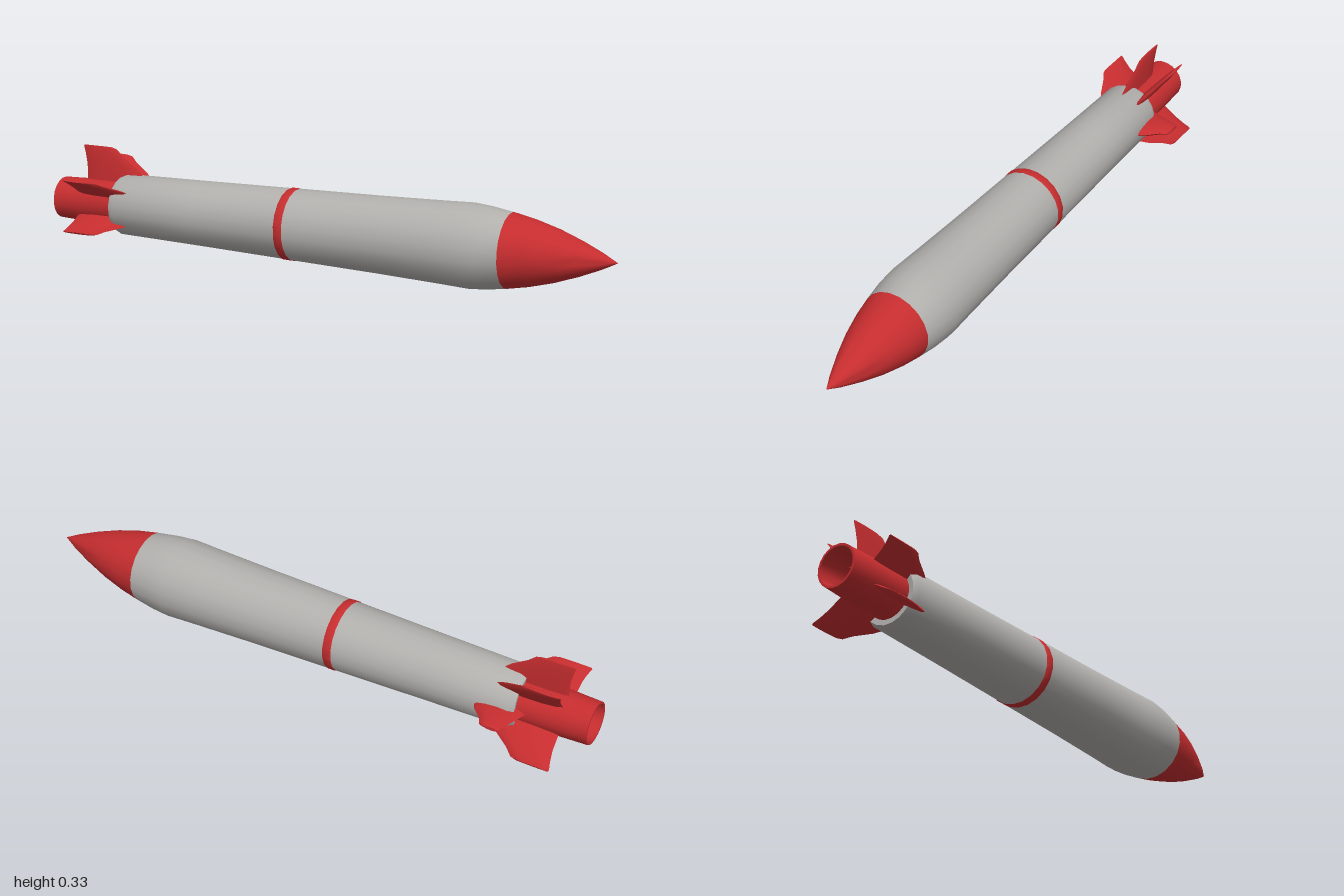
import * as THREE from 'three';
import { toCreasedNormals } from 'three/addons/utils/BufferGeometryUtils.js';

const SIDES = 20;

// Revolved shell along x from [x, radius] points, running tail to nose on the outside
function revolve(points) {
  const profile = points.map(([x, r]) => new THREE.Vector2(r, x));
  const g = new THREE.LatheGeometry(profile, SIDES, Math.PI / SIDES);
  g.rotateZ(-Math.PI / 2);
  return toCreasedNormals(g, 0.6);
}

// Fin lofted outwards through lens sections: [radius, rear x, front x, half thickness]
function finGeometry(stations) {
  const N = 12, pos = [], idx = [];
  for (const [r, rear, front, t] of stations) {
    for (let j = 0; j < N; j++) {
      const a = (j / N) * Math.PI * 2;
      pos.push((rear + front) / 2 + Math.cos(a) * (front - rear) / 2, r, Math.sin(a) * t);
    }
  }
  for (let i = 0; i < stations.length - 1; i++) {
    for (let j = 0; j < N; j++) {
      const a = i * N + j, b = i * N + (j + 1) % N;
      idx.push(a, a + N, b, b, a + N, b + N);
    }
  }
  // Tip cap
  const last = (stations.length - 1) * N;
  for (let j = 1; j < N - 1; j++) idx.push(last, last + j + 1, last + j);
  const g = new THREE.BufferGeometry();
  g.setAttribute('position', new THREE.Float32BufferAttribute(pos, 3));
  g.setIndex(idx);
  return toCreasedNormals(g, 0.8);
}

export function createModel() {
  const model = new THREE.Group();
  model.name = 'rocket';
  const red = new THREE.MeshStandardMaterial({ color: 0xc62d2f, side: THREE.DoubleSide });
  red.name = 'red';
  const grey = new THREE.MeshStandardMaterial({ color: 0xb2b0ad, side: THREE.DoubleSide });
  grey.name = 'light grey';

  const hull = new THREE.Group();
  hull.name = 'hull';
  hull.position.set(0, 0.137, 0.028);
  model.add(hull);

  const add = (name, geometry, material) => {
    const mesh = new THREE.Mesh(geometry, material);
    mesh.name = name;
    hull.add(mesh);
    return mesh;
  };

  // Hull sections
  add('tailNozzle', revolve([
    [-0.84, 0], [-0.84, 0.062], [-1, 0.064], [-1, 0.071], [-0.9, 0.075], [-0.74, 0.077],
  ]), red);
  add('rearBody', revolve([
    [-0.76, 0.06], [-0.765, 0.095], [-0.745, 0.104], [-0.45, 0.11], [-0.125, 0.118],
  ]), grey);
  add('band', revolve([[-0.125, 0.118], [-0.122, 0.12], [-0.098, 0.12], [-0.095, 0.119]]), red);
  add('frontBody', revolve([
    [-0.095, 0.119], [0.2, 0.126], [0.42, 0.133], [0.52, 0.137], [0.58, 0.132], [0.65, 0.121],
  ]), grey);
  add('noseCone', revolve([
    [0.65, 0.121], [0.72, 0.107], [0.8, 0.085], [0.88, 0.056], [0.95, 0.026], [1, 0],
  ]), red);

  // Fins: angle in degrees from the top towards the back, tip radius, forward shift, half thickness
  const fins = [
    ['topFin', 3, 0.191, 0, 0.008],
    ['upperBackFin', 38, 0.184, 0, 0.011],
    ['backFin', 88.5, 0.192, 0.13, 0.016],
    ['lowerBackFin', 125.5, 0.194, 0, 0.014],
    ['lowerFrontFin', 238, 0.161, 0, 0.01],
    ['upperFrontFin', 305, 0.164, 0, 0.01],
  ];
  for (const [name, angle, tip, shift, thick] of fins) {
    const swept = shift > 0;
    const stations = [
      [0, -0.905, -0.64, 1.1],
      [0.5, -0.908, -0.71, 1],
      [0.78, -0.915, -0.765, 0.75],
      [0.96, -0.922, -0.79, 0.5],
      [1, -0.92, -0.81, 0.35],
    ].map(([u, rear, front, t]) => [
      0.06 + (tip - 0.06) * u,
      swept ? -0.8 + 0.045 * u : rear,
      front + (swept ? 0.03 + 0.07 * u : 0),
      thick * t,
    ]);
    add(name, finGeometry(stations), red).rotation.x = -THREE.MathUtils.degToRad(angle);
  }
  return model;
}
